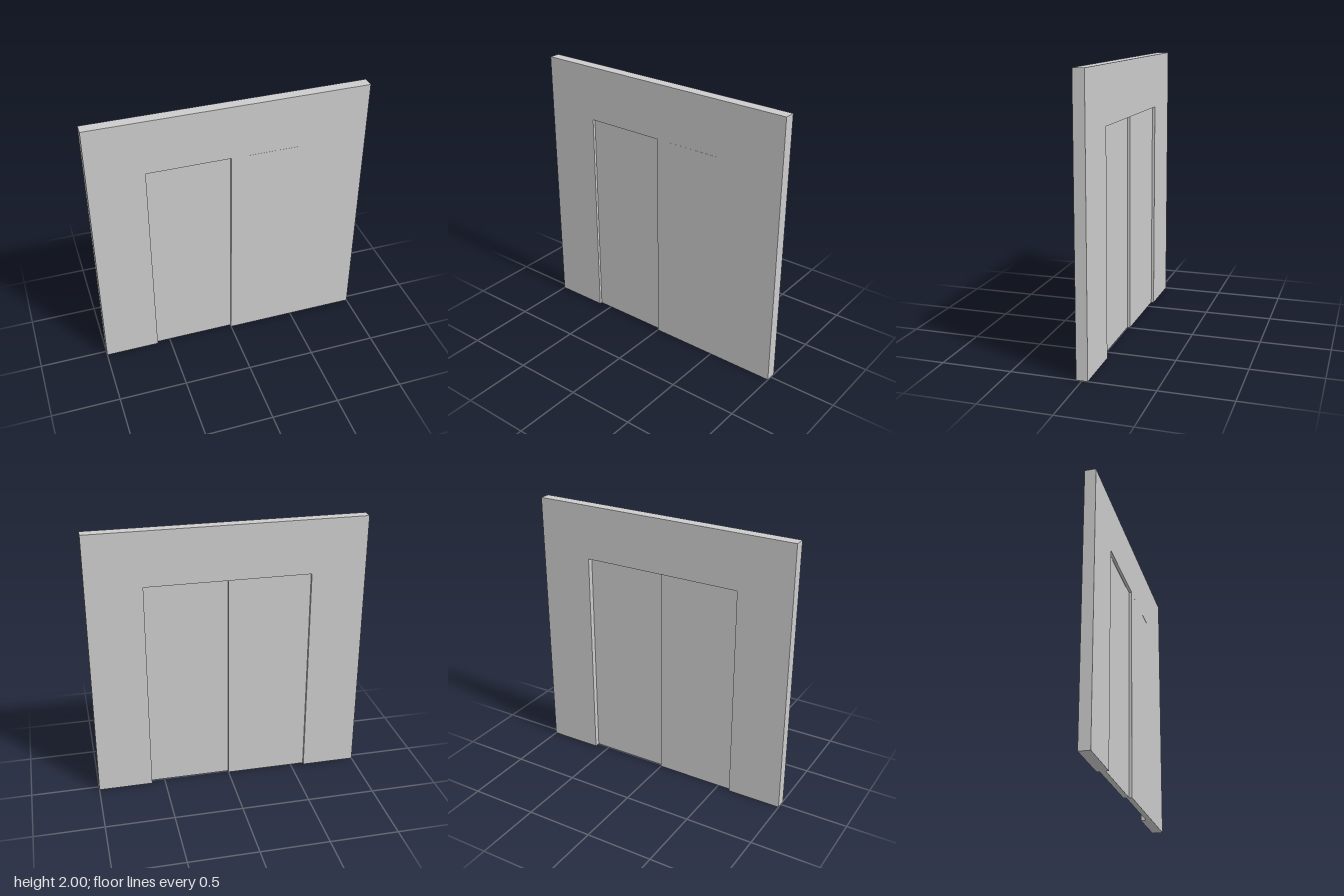
import * as THREE from 'three';

const material = new THREE.MeshStandardMaterial({ color: 0xcccccc, flatShading: true });

function addBox(parent, name, size, position) {
  const mesh = new THREE.Mesh(new THREE.BoxGeometry(...size), material);
  mesh.name = name;
  mesh.position.set(...position);
  parent.add(mesh);
}

export function createModel() {
  const model = new THREE.Group();
  model.name = 'wallWithSlidingDoors';
  const depth = 0.08, openHalf = 0.6, openHeight = 1.6;

  // Wall with a doorway cut up from the floor
  const outline = new THREE.Shape([
    [-1, 0], [-openHalf, 0], [-openHalf, openHeight], [openHalf, openHeight],
    [openHalf, 0], [1, 0], [1, 2], [-1, 2],
  ].map(([x, y]) => new THREE.Vector2(x, y)));
  const wallGeometry = new THREE.ExtrudeGeometry(outline, { depth, bevelEnabled: false });
  wallGeometry.translate(0, 0, -depth / 2);
  const wall = new THREE.Mesh(wallGeometry, material);
  wall.name = 'wall';
  model.add(wall);

  // Two door leaves: the left one flush with the front, the right one set back
  const leaves = [
    { side: 'left', x: 0.3, z: 0.02 },
    { side: 'right', x: -0.3, z: 0 },
  ];
  for (const { side, x, z } of leaves) {
    const leaf = new THREE.Group();
    leaf.name = side + 'Door';
    leaf.position.set(x, 0, z);
    addBox(leaf, side + 'DoorPanel', [openHalf, openHeight, 0.04], [0, openHeight / 2, 0]);
    // Thin hanger strip at the top edge
    addBox(leaf, side + 'DoorHanger', [0.4, 0.006, 0.002], [0, openHeight - 0.003, 0.02]);
    model.add(leaf);
  }
  return model;
}
